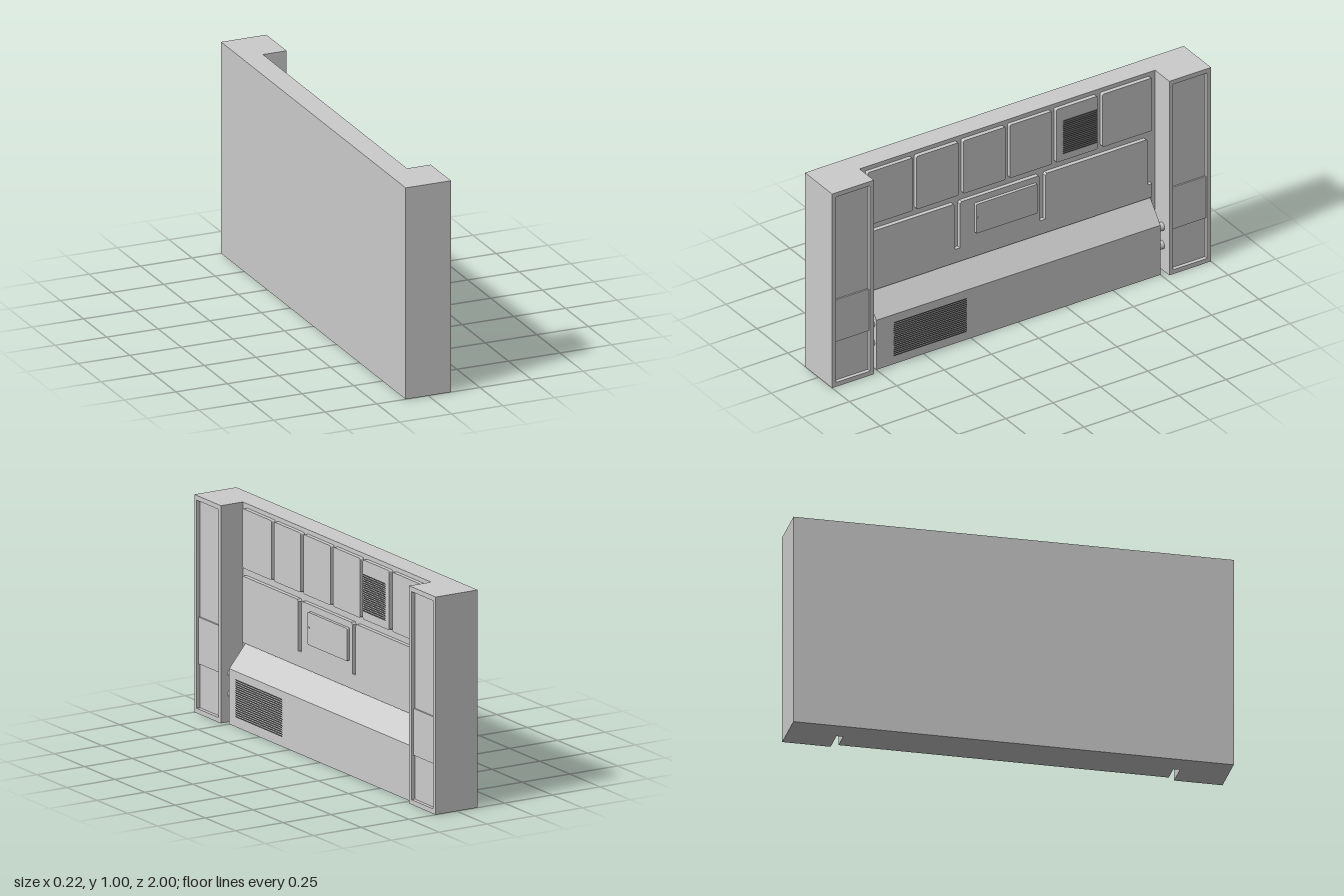
import * as THREE from 'three';

const WALL = -0.005; // front plane of the back wall

export function createModel() {
  const model = new THREE.Group();
  model.name = 'wallPanel';
  const grey = new THREE.MeshStandardMaterial({ color: 0xcccccc, side: THREE.DoubleSide });
  grey.name = 'plain grey';

  const add = (name, geometry, parent = model) => {
    const mesh = new THREE.Mesh(geometry, grey);
    mesh.name = name;
    parent.add(mesh);
    return mesh;
  };
  // box from its limits on each axis
  const box = (name, x0, x1, y0, y1, z0, z1, parent) => {
    const mesh = add(name, new THREE.BoxGeometry(x1 - x0, y1 - y0, z1 - z0), parent);
    mesh.position.set((x0 + x1) / 2, (y0 + y1) / 2, (z0 + z1) / 2);
    return mesh;
  };
  // outline drawn in (-z, y), extruded along +x from x0 to x1
  const plate = (name, shape, x0, x1, parent) => {
    const geometry = new THREE.ExtrudeGeometry(shape, { depth: x1 - x0, bevelEnabled: false, curveSegments: 3 });
    geometry.rotateY(Math.PI / 2).translate(x0, 0, 0);
    return add(name, geometry, parent);
  };
  const roundedRect = (u0, u1, y0, y1, r) => {
    const s = new THREE.Shape();
    s.moveTo(u0 + r, y0);
    s.lineTo(u1 - r, y0).quadraticCurveTo(u1, y0, u1, y0 + r);
    s.lineTo(u1, y1 - r).quadraticCurveTo(u1, y1, u1 - r, y1);
    s.lineTo(u0 + r, y1).quadraticCurveTo(u0, y1, u0, y1 - r);
    s.lineTo(u0, y0 + r).quadraticCurveTo(u0, y0, u0 + r, y0);
    return s;
  };

  // Back wall
  box('backWall', -0.11, WALL, 0, 1, -1, 1);

  // End pillars with framed recess, raised middle panel and pipes to the bench
  for (const side of [1, -1]) {
    const pillar = new THREE.Group();
    pillar.name = side > 0 ? 'frontPillar' : 'backPillar';
    model.add(pillar);
    const c = side * 0.89;
    box('pillarCore', WALL, 0.092, 0, 1, c - 0.11, c + 0.11, pillar);
    const frame = new THREE.Shape();
    frame.moveTo(-c - 0.11, 0).lineTo(-c + 0.11, 0).lineTo(-c + 0.11, 1).lineTo(-c - 0.11, 1);
    frame.holes.push(new THREE.Path().setFromPoints([
      [-0.09, 0.022], [-0.09, 0.978], [0.09, 0.978], [0.09, 0.022],
    ].map(([u, y]) => new THREE.Vector2(u - c, y))));
    plate('pillarFrame', frame, 0.092, 0.11, pillar);
    box('pillarMiddlePanel', 0.092, 0.1, 0.225, 0.44, c - 0.09, c + 0.09, pillar);
    for (const y of [0.225, 0.13]) {
      const pipe = add('pipe', new THREE.CylinderGeometry(0.02, 0.02, 0.04, 16).rotateX(Math.PI / 2), pillar);
      pipe.position.set(0.053, y, side * 0.765);
    }
  }

  // Lower console with sloping top
  const profile = new THREE.Shape([
    [WALL, 0], [0.085, 0], [0.085, 0.255], [WALL, 0.365],
  ].map(([x, y]) => new THREE.Vector2(x, y)));
  add('lowerConsole', new THREE.ExtrudeGeometry(profile, { depth: 1.5, bevelEnabled: false }).translate(0, 0, -0.75));

  // Middle panel with two slots and stepped ends, points as (-z, y)
  const middle = new THREE.Shape([
    [-0.75, 0.365], [0.75, 0.365], [0.75, 0.435], [0.73, 0.435], [0.73, 0.66], [0.72, 0.67],
    [0.195, 0.67], [0.187, 0.66], [0.187, 0.435], [0.16, 0.435], [0.16, 0.66], [0.152, 0.67],
    [-0.255, 0.67], [-0.263, 0.66], [-0.263, 0.435], [-0.29, 0.435], [-0.29, 0.66], [-0.298, 0.67],
    [-0.75, 0.67],
  ].map(([u, y]) => new THREE.Vector2(u, y)));
  plate('middlePanel', middle, WALL, 0.015);

  // Row of upper panels
  for (const [u0, u1] of [[-0.75, -0.512], [-0.492, -0.27], [-0.245, -0.023], [0, 0.222], [0.245, 0.463], [0.49, 0.75]]) {
    plate('upperPanel', roundedRect(u0, u1, 0.707, 0.98, 0.008), WALL, 0.015);
  }

  // Hatch with a small latch
  plate('hatch', roundedRect(-0.187, 0.137, 0.49, 0.64, 0.005), 0.015, 0.03);
  const latch = add('hatchLatch', new THREE.CylinderGeometry(0.005, 0.005, 0.004, 10).rotateZ(Math.PI / 2));
  latch.position.set(0.031, 0.57, 0.178);

  // Louvred grilles: slats leaning outward at the top, standing off the surface
  const grille = (name, x, y0, y1, z0, z1, count) => {
    const group = new THREE.Group();
    group.name = name;
    model.add(group);
    const pitch = (y1 - y0) / count;
    for (let i = 0; i < count; i++) {
      const slat = add('slat', new THREE.BoxGeometry(0.0012, pitch * 1.15, z1 - z0), group);
      slat.position.set(x, y0 + pitch * (i + 0.5), (z0 + z1) / 2);
      slat.rotation.z = -0.65;
    }
  };
  grille('lowerGrille', 0.103, 0.052, 0.23, 0.285, 0.668, 18);
  grille('upperGrille', 0.03, 0.75, 0.925, -0.452, -0.272, 18);

  return model;
}
